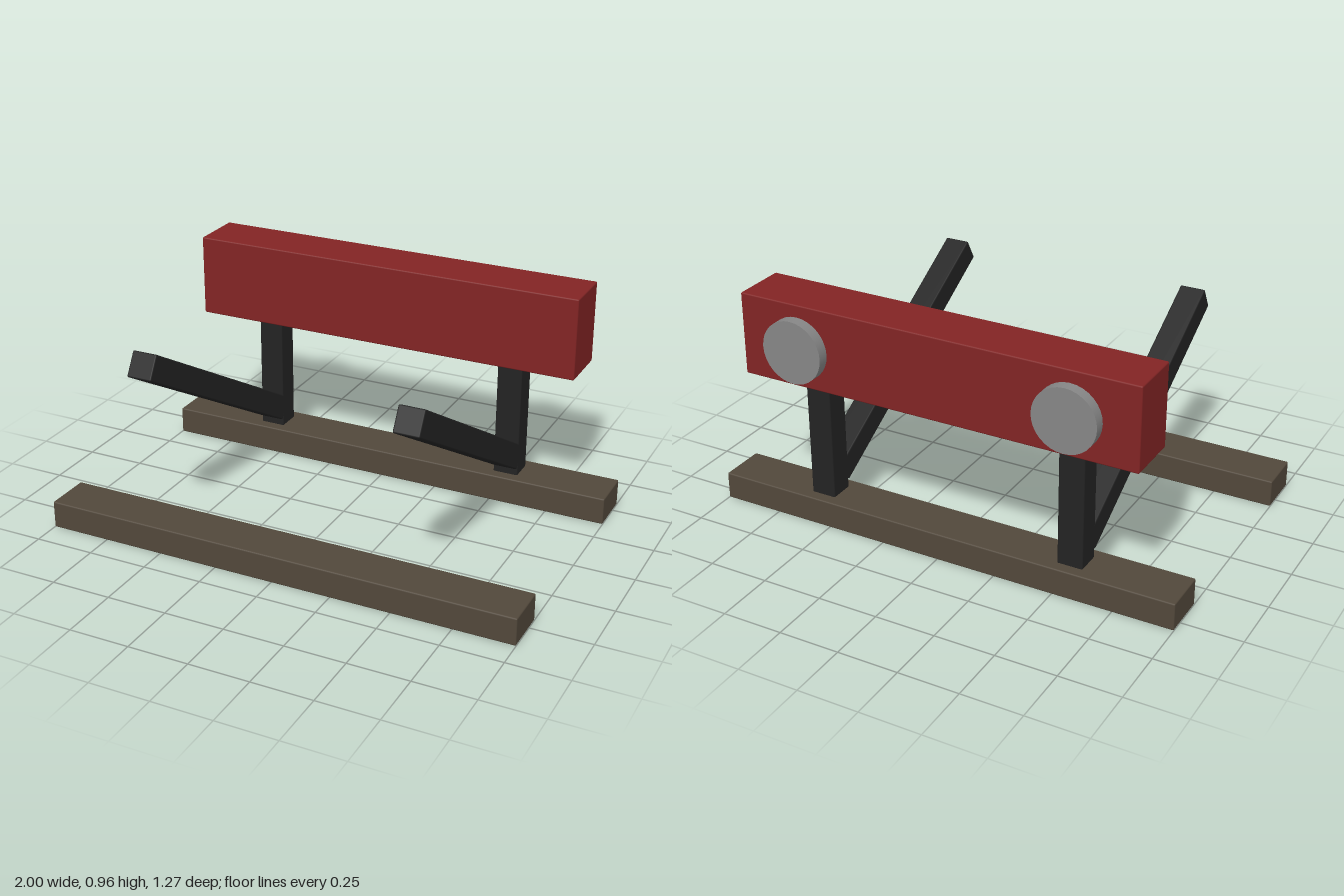
import * as THREE from 'three';
import { RoundedBoxGeometry } from 'three/addons/geometries/RoundedBoxGeometry.js';

const material = (name, color) => {
  const m = new THREE.MeshStandardMaterial({ color });
  m.name = name;
  return m;
};

export function createModel() {
  const model = new THREE.Group();
  model.name = 'paddedFrame';
  const wood = material('brown wood', 0x52483b);
  const black = material('black steel', 0x232323);
  const red = material('red padding', 0x822424);
  const grey = material('grey metal', 0x868686);

  const add = (name, geometry, mat, x, y, z, rotX = 0) => {
    const mesh = new THREE.Mesh(geometry, mat);
    mesh.name = name;
    mesh.position.set(x, y, z);
    mesh.rotation.x = rotX;
    model.add(mesh);
    return mesh;
  };
  const box = (w, h, d, r = 0.006) => new RoundedBoxGeometry(w, h, d, 2, r);

  // Two ground rails
  add('frontRail', box(2, 0.115, 0.196), wood, 0, 0.0575, 0.538);
  add('backRail', box(2, 0.115, 0.196), wood, 0, 0.0575, -0.462);

  // Padded crossbeam
  add('crossbeam', box(1.69, 0.344, 0.229), red, 0, 0.791, -0.461);

  for (const side of [1, -1]) {
    const label = side > 0 ? 'left' : 'right';
    // Upright post, running up into the beam
    add(label + 'Post', box(0.106, 0.58, 0.104), black, side * 0.553, 0.4, -0.462);
    // Arm rising forwards at 30 degrees from the foot of the post
    add(label + 'Arm', box(0.106, 0.105, 1.2), black, side * 0.553, 0.49, 0.088, -Math.PI / 6);
    // Dark hub and metal disc on the back of the beam
    add(label + 'Hub', new THREE.CylinderGeometry(0.053, 0.053, 0.06, 32), black,
      side * 0.577, 0.791, -0.565, Math.PI / 2);
    add(label + 'Disc', new THREE.CylinderGeometry(0.13, 0.13, 0.046, 32), grey,
      side * 0.577, 0.791, -0.614, Math.PI / 2);
  }
  return model;
}
